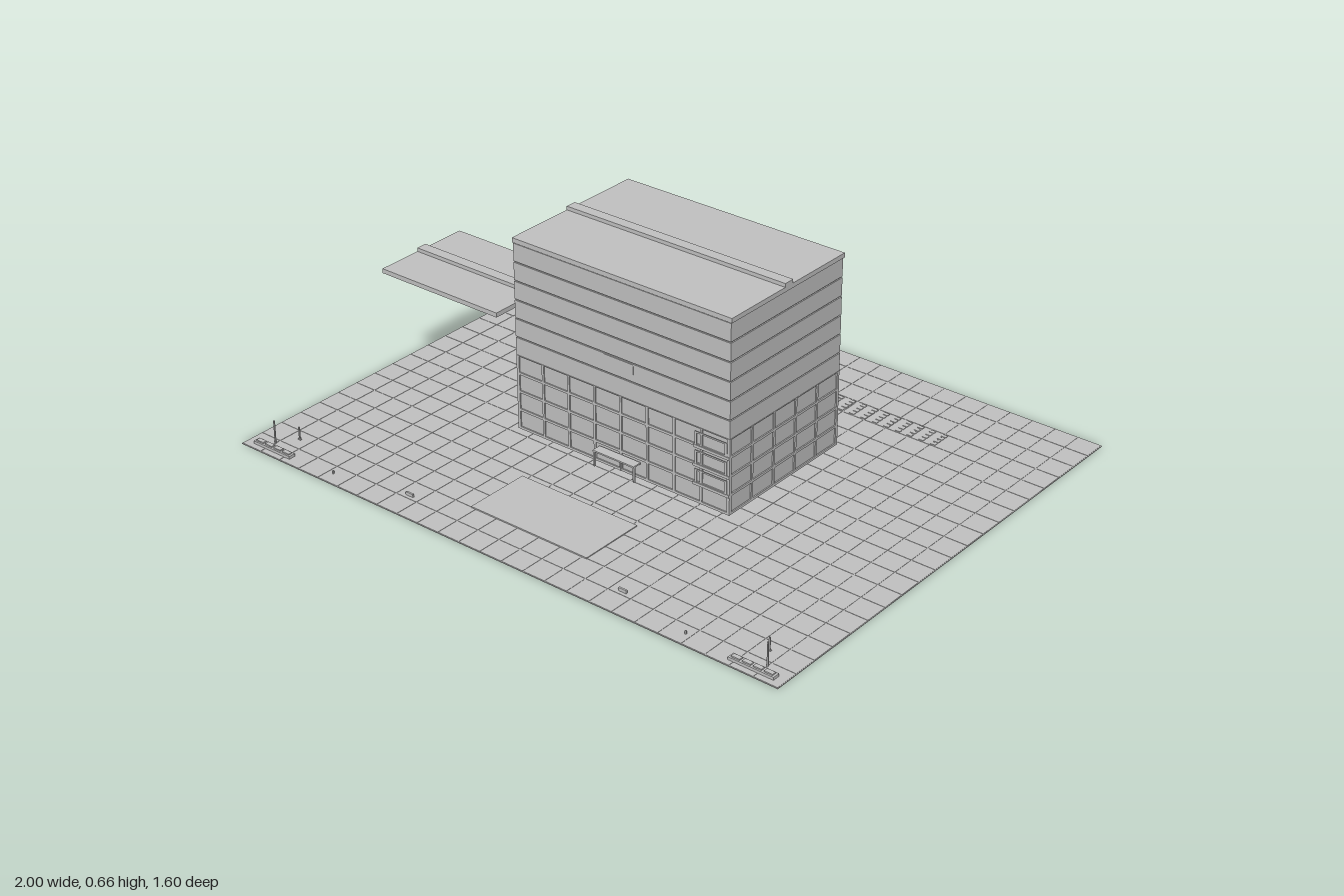
import * as THREE from 'three';
import { mergeGeometries } from 'three/addons/utils/BufferGeometryUtils.js';

const concrete = new THREE.MeshStandardMaterial({ color: 0xc0c0c0 });
concrete.name = 'concreteGrey';

// Box geometry given by its min and max on each axis
function box(x0, x1, y0, y1, z0, z1) {
  const g = new THREE.BoxGeometry(x1 - x0, y1 - y0, z1 - z0);
  return g.translate((x0 + x1) / 2, (y0 + y1) / 2, (z0 + z1) / 2);
}

function part(name, boxes) {
  const mesh = new THREE.Mesh(mergeGeometries(boxes), concrete);
  mesh.name = name;
  return mesh;
}

// Flat roof with a raised strip across it
function roof(name, x0, x1, z0, z1, y0, y1, ridge0, ridge1, ridgeTop) {
  return part(name, [
    box(x0, x1, y0, y1, z0, z1),
    box(x0, x1, y1 - 0.002, ridgeTop, ridge0, ridge1),
  ]);
}

const X = 0.4, ZB = -0.285, ZF = 0.235;   // building footprint
const BASE = 0.02, FLOOR = 0.0615;

function building() {
  const group = new THREE.Group();
  group.name = 'building';
  const inset = 0.004;
  group.add(part('core', [box(-X + inset, X - inset, BASE, 0.645, ZB + inset, ZF - inset)]));

  // Upper storeys: plain bands separated by thin grooves
  const bands = [];
  for (let i = 4; i < 10; i++) {
    const y = BASE + i * FLOOR;
    bands.push(box(-X, X, y + 0.004, y + FLOOR, ZB, ZF));
  }
  group.add(part('upperStoreys', bands));

  // Lower storeys: floor beams and mullions around sunken windows
  const beams = [], mullions = [];
  const top = BASE + 4 * FLOOR;
  for (let i = 0; i <= 4; i++) {
    const y = BASE + i * FLOOR;
    beams.push(box(-X, X, y, y + (i === 4 ? 0.003 : 0.008), ZB, ZF));
  }
  const w = 0.004;
  for (let i = 0; i <= 8; i++) {
    const x = -X + w + (i / 8) * (2 * X - 2 * w);
    mullions.push(box(x - w, x + w, BASE, top, ZB, ZB + 0.01));
    mullions.push(box(x - w, x + w, BASE, top, ZF - 0.01, ZF));
  }
  for (let i = 0; i <= 5; i++) {
    const z = ZB + w + (i / 5) * (ZF - ZB - 2 * w);
    for (const s of [-1, 1]) {
      mullions.push(box(s * (X - 0.005) - 0.005, s * (X - 0.005) + 0.005, BASE, top, z - w, z + w));
    }
  }
  group.add(part('floorBeams', beams), part('mullions', mullions));

  // Balcony rails at the front corner
  const rails = [];
  for (let i = 1; i < 4; i++) {
    const y = BASE + i * FLOOR;
    rails.push(box(0.27, X, y - 0.003, y + 0.006, ZF, ZF + 0.003));
    rails.push(box(0.28, 0.39, y + 0.045, y + 0.05, ZF, ZF + 0.002));
    rails.push(box(0.275, 0.283, y, y + 0.05, ZF, ZF + 0.002));
    rails.push(box(0.383, 0.391, y, y + 0.05, ZF, ZF + 0.002));
  }
  group.add(part('cornerBalconies', rails));

  // Blank panel on the front wall
  group.add(part('wallPanel', [box(-0.06, 0.05, 0.355, 0.388, ZF, ZF + 0.002)]));

  group.add(roof('roof', -0.403, 0.403, -0.289, 0.236, 0.637, 0.652, -0.042, -0.006, 0.664));
  return group;
}

// Entrance porch
function porch() {
  return part('entrancePorch', [
    box(-0.08, 0.075, 0.07, 0.075, ZF, 0.267),
    box(-0.08, -0.075, BASE, 0.07, 0.258, 0.265),
    box(0.07, 0.075, BASE, 0.07, 0.258, 0.265),
    box(-0.004, 0.0, BASE, 0.07, ZF, ZF + 0.002),
  ]);
}

// Paved ground with shallow seams
function plaza() {
  const group = new THREE.Group();
  group.name = 'plaza';
  group.add(part('groundSlab', [box(-1, 1, 0, 0.002, -0.8, 0.8)]));
  const tiles = [], gap = 0.002;
  for (let i = 0; i < 25; i++) {
    for (let j = 0; j < 20; j++) {
      const x = -1 + i * 0.08, z = -0.8 + j * 0.08;
      tiles.push(box(x + gap, x + 0.08 - gap, 0.001, 0.003, z + gap, z + 0.08 - gap));
    }
  }
  group.add(part('pavingTiles', tiles));
  group.add(part('entrancePodium', [box(-0.22, 0.215, 0.001, 0.006, 0.42, 0.64)]));

  // Row of grates behind the building
  const grates = [];
  for (let i = 0; i < 30; i++) {
    const x = -0.63 + i * 0.0423;
    for (let k = 0; k < 4; k++) {
      const z = -0.556 + k * 0.019;
      grates.push(box(x, x + 0.017, 0.002, 0.005, z, z + 0.013));
    }
  }
  group.add(part('rearGrates', grates));
  return group;
}

// Street furniture on one side, s = -1 or 1
function furniture(s) {
  const at = (x, z, w, d, h) => box(s * x - w / 2, s * x + w / 2, 0.002, h, z - d / 2, z + d / 2);
  const group = new THREE.Group();
  group.name = s > 0 ? 'leftFurniture' : 'rightFurniture';
  const bench = [at(0.895, 0.767, 0.15, 0.024, 0.012)];
  for (let i = 0; i < 4; i++) bench.push(at(0.841 + i * 0.036, 0.767, 0.028, 0.014, 0.016));
  group.add(
    part('planter', bench),
    part('tallPole', [at(0.92, 0.738, 0.004, 0.004, 0.08)]),
    part('shortPole', [at(0.88, 0.677, 0.004, 0.004, 0.046), at(0.88, 0.677, 0.01, 0.006, 0.006)]),
    part('frontBench', [at(0.4, 0.704, 0.028, 0.006, 0.013)]),
    part('bollard', [at(0.66, 0.755, 0.004, 0.004, 0.014)]),
  );
  return group;
}

export function createModel() {
  const model = new THREE.Group();
  model.name = 'officeBuilding';
  model.add(plaza(), building(), porch());
  // Detached side roof
  model.add(roof('sideRoof', -0.91, -0.445, -0.075, 0.267, 0.39, 0.405, 0.078, 0.114, 0.417));
  model.add(furniture(-1), furniture(1));
  return model;
}
